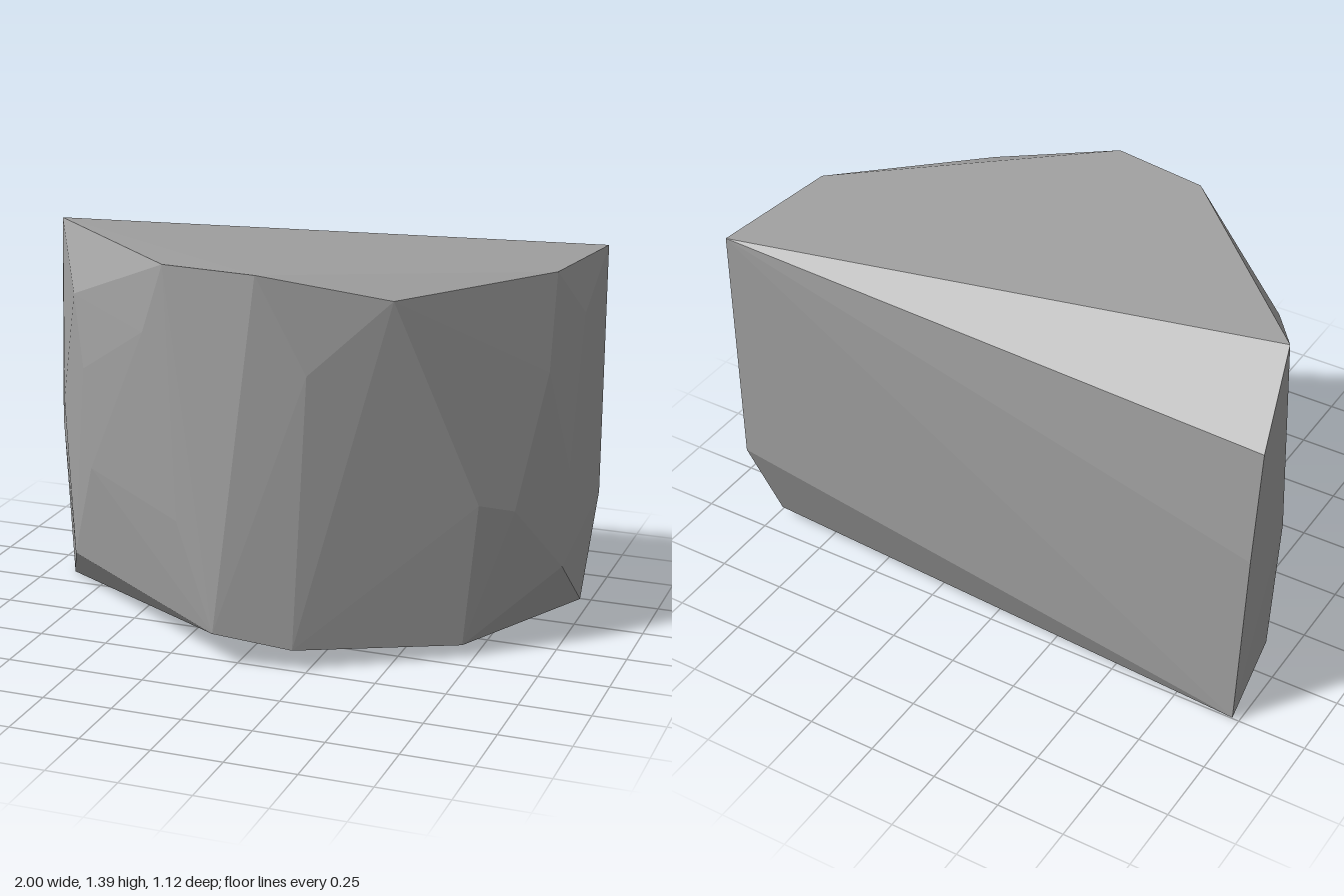
import * as THREE from 'three';
import { ConvexGeometry } from 'three/addons/geometries/ConvexGeometry.js';

// Corner points of the faceted stone, grouped by region
const topRim = [
  [1, 1.33, -0.56], [0.94, 1.34, -0.08], [0.51, 1.31, 0.38], [0.08, 1.395, 0.53],
  [-0.27, 1.39, 0.48], [-0.94, 1.36, -0.16],
];
const bottomRim = [
  [0.98, 0.04, -0.41], [0.71, 0.05, 0.18], [0.2, 0.08, 0.5], [-0.07, 0.125, 0.558],
  [-0.77, 0.19, 0.16], [-0.9, 0.005, -0.1], [-0.98, 0.02, -0.51],
];
const backCorners = [
  [1, 0.41, -0.56], [-1, 1.12, -0.43], [-1, 0.71, -0.485],
];
const curvedFront = [
  [1, 1.16, -0.25], [0.935, 1.0, -0.03], [0.99, 0.62, -0.14], [0.98, 0.27, -0.12],
  [0.86, 0.53, 0.09], [0.76, 0.57, 0.19], [0.25, 1.06, 0.5], [-0.22, 0.5, 0.51],
  [-0.36, 1.14, 0.45], [-0.64, 0.57, 0.285], [-0.67, 0.93, 0.265], [-0.73, 1.18, 0.2],
  [-0.83, 0.75, 0.095], [-0.95, 0.6, -0.14],
];

export function createModel() {
  const group = new THREE.Group();
  group.name = 'rock';

  const stoneGrey = new THREE.MeshStandardMaterial({ color: 0xa0a0a0, flatShading: true });
  stoneGrey.name = 'stoneGrey';

  // Half-round stone block: the convex hull of its corners
  const corners = [...topRim, ...bottomRim, ...backCorners, ...curvedFront]
    .map((p) => new THREE.Vector3(...p));
  const stone = new THREE.Mesh(new ConvexGeometry(corners), stoneGrey);
  stone.name = 'stoneBlock';
  group.add(stone);

  return group;
}
